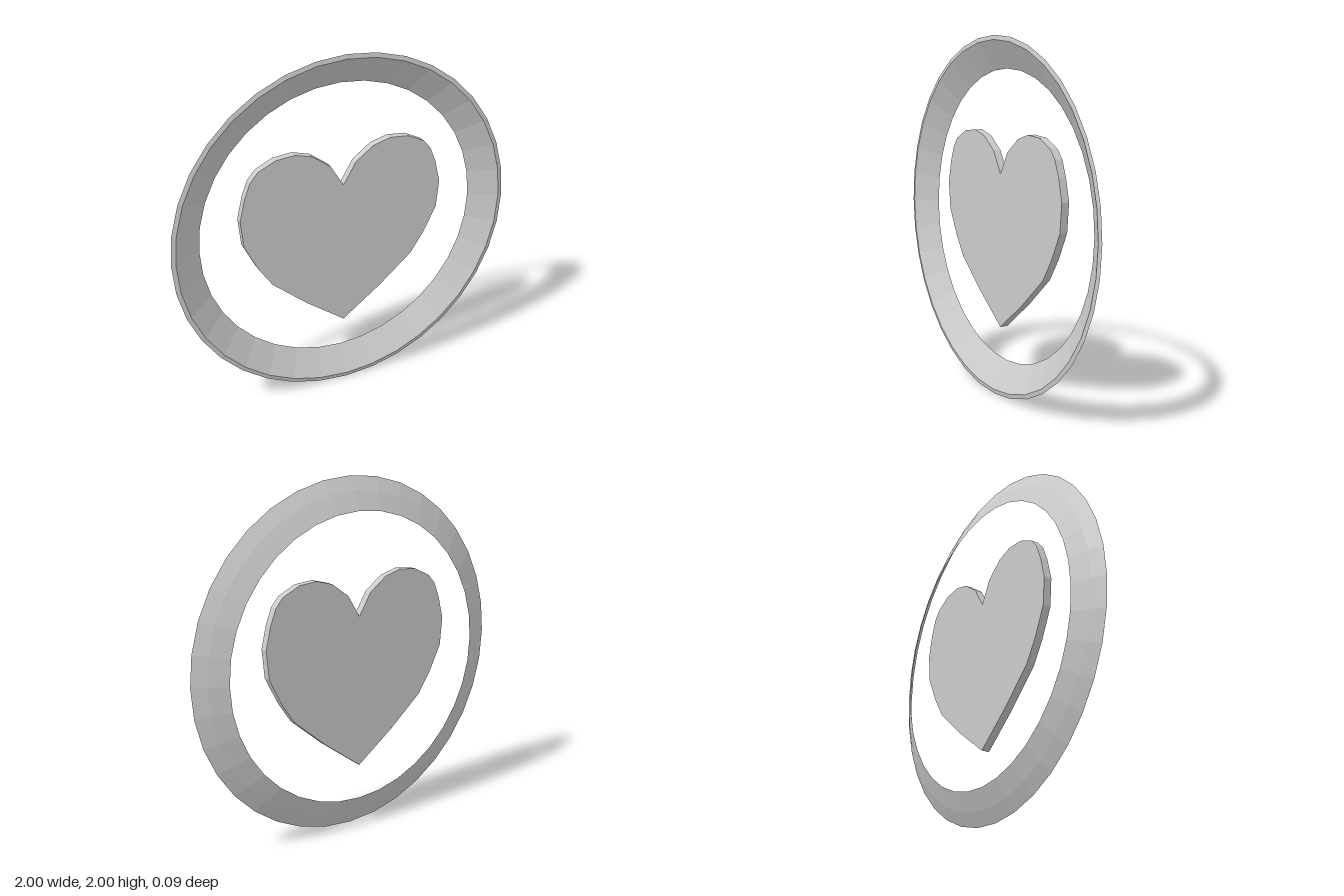
import * as THREE from 'three';

const material = new THREE.MeshStandardMaterial({ color: 0xcccccc, flatShading: true });

// Dished ring: a closed cross-section (radius, depth) turned around the z axis
function createRing() {
  const profile = [
    [0.82, -0.045], [0.925, 0], [1, 0.04], [0.975, 0.045], [0.82, -0.045],
  ].map(([r, d]) => new THREE.Vector2(r, d));
  const geometry = new THREE.LatheGeometry(profile, 36);
  geometry.rotateX(Math.PI / 2);
  const ring = new THREE.Mesh(geometry, material);
  ring.name = 'ring';
  ring.position.y = 1;
  return ring;
}

// Floating heart plate: half outline from tip to notch, mirrored
function createHeart() {
  const half = [
    [0, 0.38], [0.23, 0.55], [0.43, 0.72], [0.51, 0.84], [0.585, 0.99],
    [0.6, 1.15], [0.57, 1.275], [0.535, 1.365], [0.49, 1.417], [0.39, 1.465],
    [0.28, 1.475], [0.18, 1.447], [0.075, 1.37], [0, 1.245],
  ];
  const mirrored = half.slice(1, -1).reverse().map(([x, y]) => [-x, y]);
  const outline = [...half, ...mirrored].map(([x, y]) => new THREE.Vector2(x, y));
  const geometry = new THREE.ExtrudeGeometry(new THREE.Shape(outline), {
    depth: 0.045, bevelEnabled: false,
  });
  const heart = new THREE.Mesh(geometry, material);
  heart.name = 'heart';
  heart.position.z = -0.045;
  return heart;
}

export function createModel() {
  const model = new THREE.Group();
  model.name = 'heartMedallion';
  model.add(createRing(), createHeart());
  return model;
}
